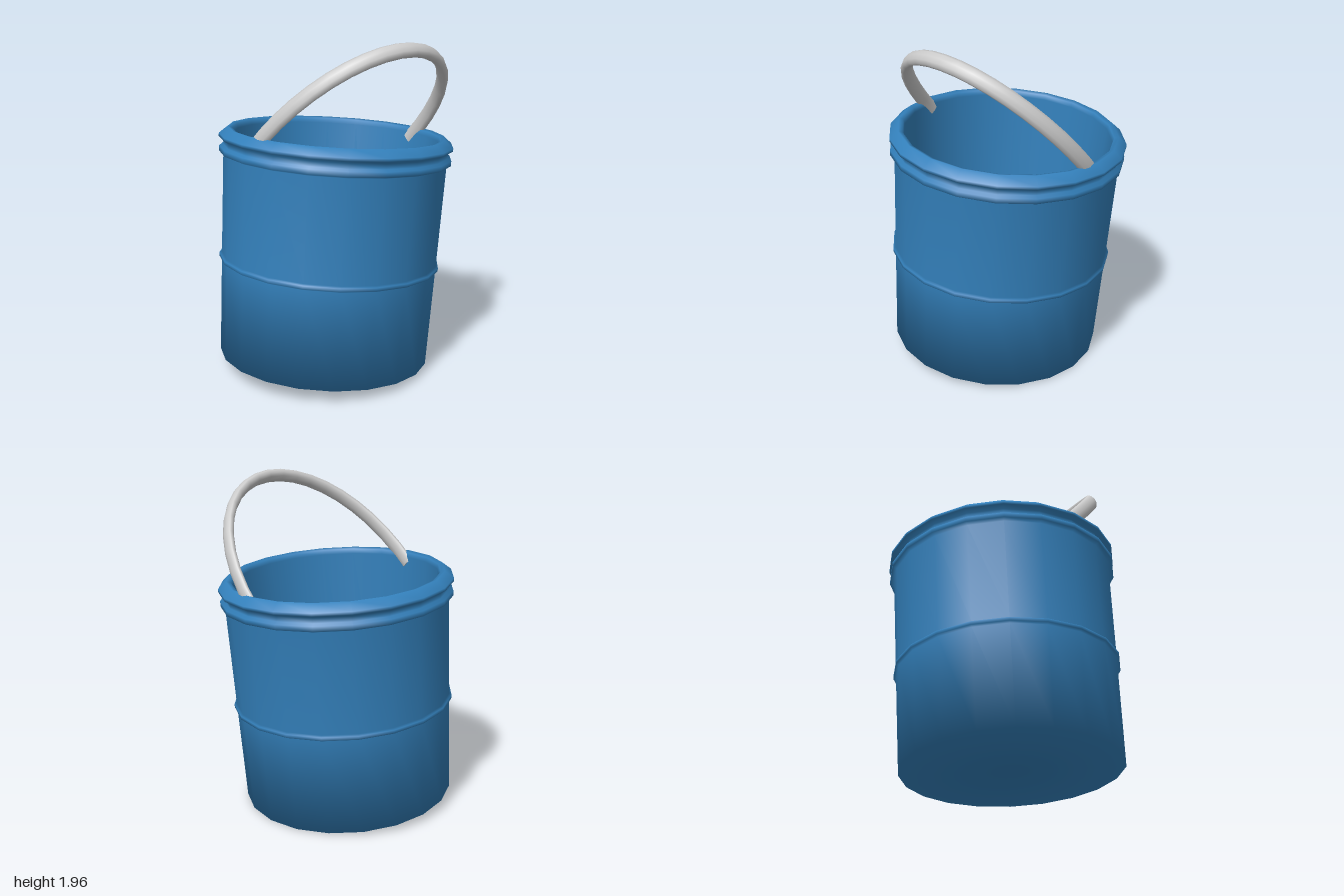
import * as THREE from 'three';

const SIDES = 20;

export function createModel() {
  const model = new THREE.Group();
  const blue = new THREE.MeshStandardMaterial({ color: 0x3380bb });
  const grey = new THREE.MeshStandardMaterial({ color: 0xcccccc });

  const add = (parent, name, geometry, material) => {
    const mesh = new THREE.Mesh(geometry, material);
    mesh.name = name;
    parent.add(mesh);
    return mesh;
  };

  // The whole bucket leans slightly backward
  const bucket = new THREE.Group();
  bucket.name = 'bucket';
  bucket.position.set(0, 0.05, 0.085);
  bucket.rotation.x = -0.08;
  model.add(bucket);

  // Shell profile: underside, outer wall with two ribs, rim, inner wall
  const profile = [
    [0, 0], [0.627, 0],
    [0.641, 0.575], [0.656, 0.583], [0.656, 0.603], [0.642, 0.611],
    [0.655, 1.205], [0.68, 1.215], [0.68, 1.245], [0.657, 1.255],
    [0.657, 1.285], [0.685, 1.3], [0.685, 1.318], [0.635, 1.36],
    [0.61, 1.352], [0.602, 1.325], [0.51, 0.05],
  ].map(([r, y]) => new THREE.Vector2(r, y));
  add(bucket, 'shell', new THREE.LatheGeometry(profile, SIDES), blue);

  // Flat inner floor
  const floor = add(bucket, 'floor', new THREE.CircleGeometry(0.51, SIDES), blue);
  floor.rotation.x = -Math.PI / 2;
  floor.position.y = 0.05;

  // Handle: a stretched half ring leaning to the left side
  const handle = new THREE.Group();
  handle.name = 'handle';
  handle.position.y = 1.28;
  handle.rotation.order = 'ZYX';
  handle.rotation.set(0, Math.PI / 2, -0.755);
  handle.scale.set(1, 1.33, 1.85);
  bucket.add(handle);
  const R = 0.615, r = 0.025;
  add(handle, 'handleBar', new THREE.TorusGeometry(R, r, 10, 20, Math.PI), grey);
  for (const side of [-1, 1]) {
    const cap = add(handle, 'handleEnd', new THREE.CircleGeometry(r, 10), grey);
    cap.rotation.x = Math.PI / 2;
    cap.position.x = side * R;
  }

  return model;
}
